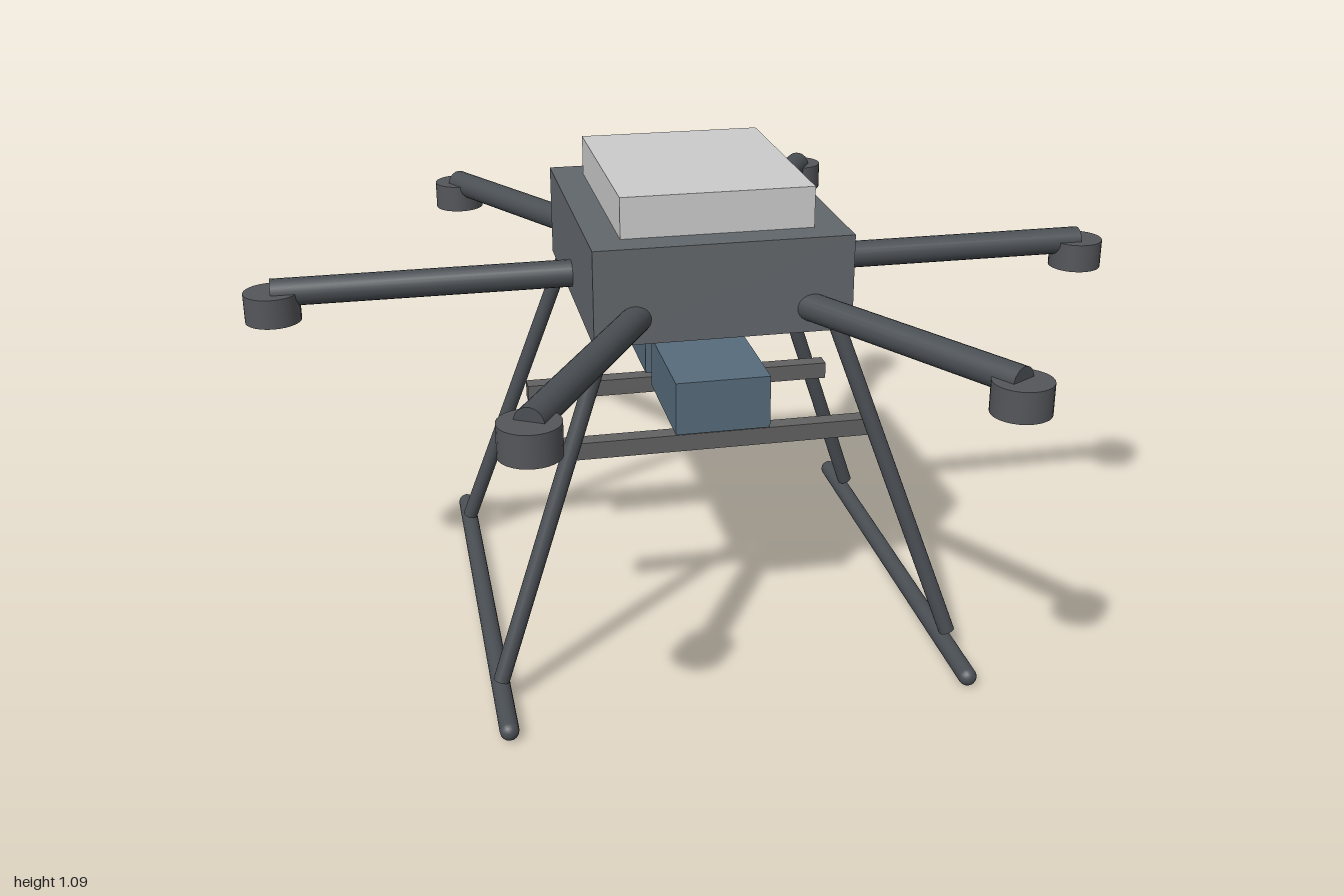
import * as THREE from 'three';

export function createModel() {
  const model = new THREE.Group();
  const paint = (color) => new THREE.MeshStandardMaterial({ color });
  const shell = paint(0x62676b), light = paint(0xcccccc), tube = paint(0x4a4f54);
  const motorGrey = paint(0x55565a), railGrey = paint(0x626262), blue = paint(0x566b7b);

  const add = (name, geometry, material, x, y, z) => {
    const mesh = new THREE.Mesh(geometry, material);
    mesh.name = name;
    mesh.position.set(x, y, z);
    model.add(mesh);
    return mesh;
  };
  const box = (name, material, [w, h, d], [x, y, z]) =>
    add(name, new THREE.BoxGeometry(w, h, d), material, x, y, z);

  // Straight round tube between two points
  const rod = (name, from, to, radius) => {
    const a = new THREE.Vector3(...from), b = new THREE.Vector3(...to);
    const dir = b.clone().sub(a);
    const mid = a.clone().add(b).multiplyScalar(0.5);
    const mesh = add(name, new THREE.CylinderGeometry(radius, radius, dir.length(), 20), tube, mid.x, mid.y, mid.z);
    mesh.quaternion.setFromUnitVectors(new THREE.Vector3(0, 1, 0), dir.normalize());
  };

  // Central body, lid and the small rear module
  box('body', shell, [0.56, 0.21, 0.67], [0, 0.895, 0]);
  box('lid', light, [0.42, 0.09, 0.53], [0, 1.045, 0]);
  box('rearModule', railGrey, [0.065, 0.07, 0.05], [0, 0.865, -0.341]);

  // Six arms, each with a motor at its tip
  for (let i = 0; i < 6; i++) {
    const angle = (i * Math.PI) / 3;
    const c = Math.cos(angle), s = Math.sin(angle);
    rod('arm', [0.15 * c, 0.844, 0.15 * s], [0.94 * c, 0.844, 0.94 * s], 0.031);
    add('motor', new THREE.CylinderGeometry(0.061, 0.061, 0.066, 28), motorGrey, 0.939 * c, 0.814, 0.939 * s);
  }

  // Batteries and cross rails below the body, front and back
  for (const side of [1, -1]) {
    box('battery', blue, [0.21, 0.12, 0.288], [0, 0.63, side * 0.181]);
    box('crossRail', railGrey, [0.745, 0.04, 0.04], [0, 0.49, side * 0.177]);
  }

  // Landing gear: two skids, each on two splayed legs
  for (const x of [1, -1]) {
    const skid = add('skid', new THREE.CapsuleGeometry(0.021, 1.1, 6, 16), tube, x * 0.512, 0.021, 0);
    skid.rotation.x = Math.PI / 2;
    for (const z of [1, -1]) {
      rod('leg', [x * 0.253, 0.795, z * 0.303], [x * 0.513, 0.055, z * 0.407], 0.018);
    }
  }
  return model;
}
